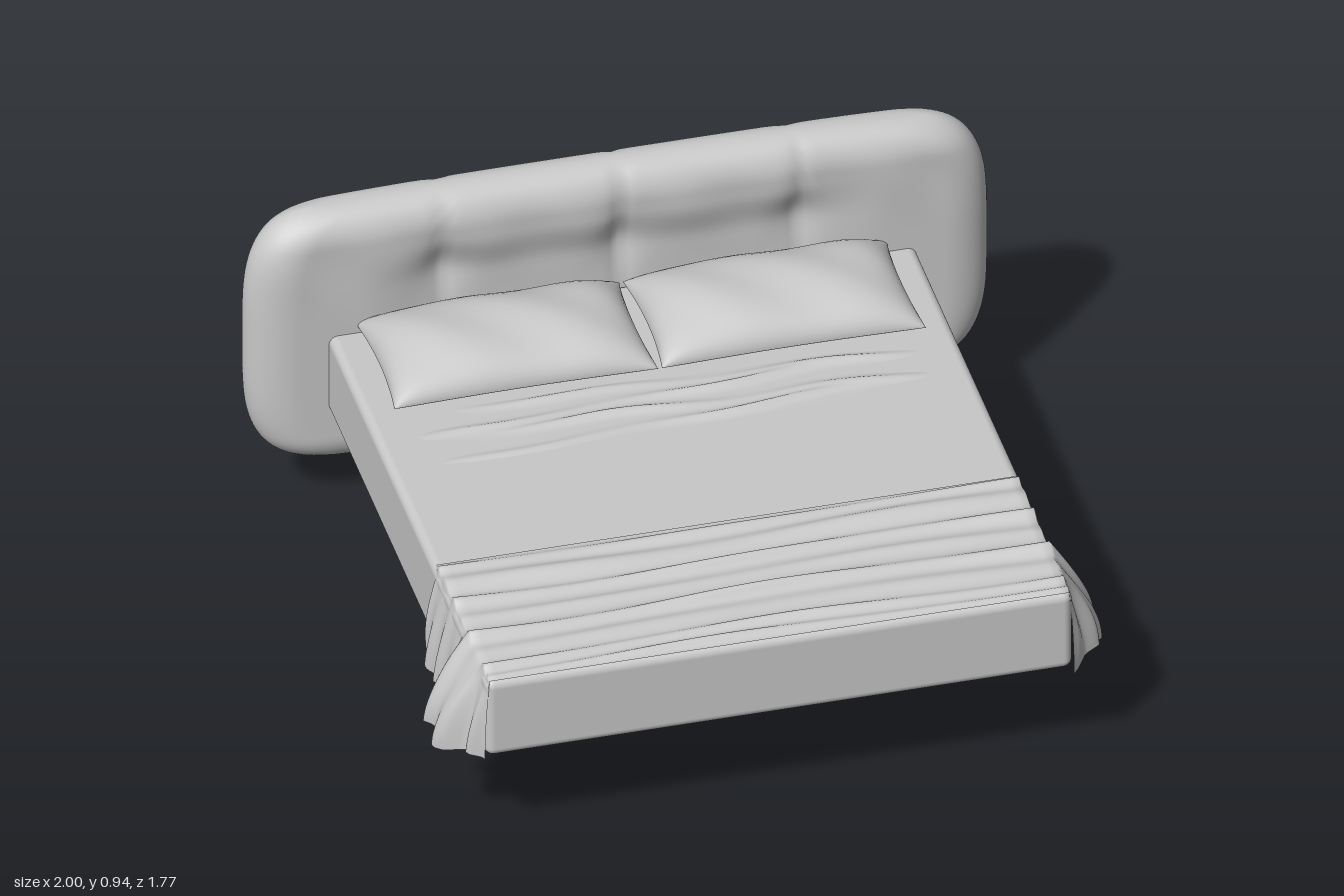
import * as THREE from 'three';
import { mergeGeometries, mergeVertices } from 'three/addons/utils/BufferGeometryUtils.js';
import { RoundedBoxGeometry } from 'three/addons/geometries/RoundedBoxGeometry.js';

const bump = (d, w) => Math.exp(-(d * d) / (w * w));
const ease = (t) => Math.sin(t * Math.PI / 2);
const step = THREE.MathUtils.smoothstep;

// A grid over u, v in [-1, 1] placed by a rule
function sheet(nx, ny, place) {
  const g = new THREE.PlaneGeometry(2, 2, nx, ny);
  const p = g.attributes.position;
  for (let i = 0; i < p.count; i++) p.setXYZ(i, ...place(p.getX(i), p.getY(i)));
  g.deleteAttribute('uv');
  g.deleteAttribute('normal');
  g.computeVertexNormals();
  return g;
}

// Two sheets, facing +z and -z, welded round the rim
function cushion(nx, ny, place) {
  const front = sheet(nx, ny, (u, v) => place(ease(u), ease(v), 1));
  const back = sheet(nx, ny, (u, v) => place(ease(-u), ease(v), -1));
  const both = mergeGeometries([front, back]);
  both.deleteAttribute('normal');
  const g = mergeVertices(both, 1e-5);
  g.computeVertexNormals();
  return g;
}

// Quarter-round edge: 0 at the rim, 1 once d reaches r
const round = (d, r) => Math.sqrt(Math.max(0, 1 - (1 - Math.min(d / r, 1)) ** 2));

function headboardPoint(u, v, side) {
  const w = 0.8 + 0.2 * Math.sqrt(Math.max(0, 1 - v ** 4));
  const x = u * w;
  const y = 0.53 + v * 0.405 * (1 - 0.035 * u ** 4);
  const edge = round(w * (1 - Math.abs(u)), 0.13) * round(0.405 * (1 - Math.abs(v)), 0.1);
  const ax = Math.abs(x);
  let dent = 0;
  if (side > 0) {
    // hollow behind the pillows, with three tufts and their seams
    dent += 0.022 * step(0.8 - y, 0, 0.12) * step(y, 0.25, 0.4) * step(0.7 - ax, 0, 0.25);
    dent += 0.02 * (bump(x, 0.05) + bump(ax - 0.48, 0.06)) * bump(y - 0.7, 0.09);
    dent += 0.012 * (bump(x, 0.018) + 0.7 * bump(ax - 0.48, 0.018));
    dent += 0.004 * Math.sin(x * 23 + y * 9) * bump(y - 0.78, 0.1);
  } else {
    // upright seams and framed panels on the back
    dent += 0.013 * (bump(x, 0.015) + bump(ax - 0.47, 0.025));
    const frame = Math.max(Math.abs(ax - 0.68) / 0.17, Math.abs(y - 0.53) / 0.28);
    dent += 0.008 * bump(frame - 1, 0.1);
    dent += 0.006 * bump(Math.abs(y - 0.53) - 0.29, 0.02) * step(0.45 - ax, 0, 0.03);
  }
  return [x, y, -0.805 + side * edge * (0.085 - dent)];
}

// Pillow lying flat: local z is up
function pillowPoint(u, v, side) {
  const x = u * 0.355 * (1 - 0.04 * (1 - v * v));
  const y = v * 0.2 * (1 - 0.05 * (1 - u * u));
  const puff = Math.sqrt((1 - u ** 4) * Math.max(0, 1 - v * v));
  const wave = 1 + 0.05 * Math.sin(7 * u + 4 * v);
  return [x, y, side > 0 ? 0.105 * puff * wave : -0.025 * puff];
}

// Throw draped over the foot of the bed
function throwPoint(u, v) {
  const z = 0.61 - v * 0.27;
  const s = Math.sign(u);
  const t = Math.abs(u);
  const ends = step(z, 0.34, 0.37) * step(0.88 - z, 0, 0.025);
  const wobble = 0.012 * Math.sin(u * 5 + z * 6);
  let top = 0.558;
  for (const [at, h, w] of [[0.37, 0.016, 0.02], [0.44, 0.02, 0.03], [0.52, 0.02, 0.018],
    [0.59, 0.01, 0.02], [0.67, 0.024, 0.02], [0.74, 0.01, 0.025], [0.81, 0.015, 0.015], [0.86, 0.014, 0.015]]) {
    top += ends * h * bump(z - at - wobble, w) * (0.8 + 0.25 * Math.sin(u * 9 + at * 40));
  }
  if (t < 0.62) return [u / 0.62 * 0.78, top, z];
  const k = (t - 0.62) / 0.38;
  const flare = step(z, 0.62, 0.66) * step(0.83 - z, 0, 0.04);
  const ripple = Math.sin(z * 75 + s * 0.7 + k * 2);
  const out = 0.012 + ends * (0.03 + 0.07 * flare + 0.012 * ripple * k);
  const hem = 0.305 + 0.012 * Math.sin(z * 40 + s);
  return [s * (0.78 + out * ease(k)), top + (hem - top) * k, z];
}

// Creased bedding just below the pillows
function creasePoint(u, v) {
  const z = -0.21 - v * 0.14;
  const fade = (1 - u ** 4) * (1 - v ** 4);
  let h = 0;
  for (const [at, tilt] of [[-0.3, 0.03], [-0.25, -0.03], [-0.19, 0.02], [-0.13, -0.04]]) {
    h += bump(z - at - tilt * u - 0.008 * Math.sin(u * 8), 0.014) * (0.6 + 0.4 * Math.sin(u * 6 + at * 50));
  }
  return [u * 0.7, 0.553 + fade * (0.003 + 0.014 * h), z];
}

export function createModel() {
  const model = new THREE.Group();
  const grey = new THREE.MeshStandardMaterial({ color: 0xc8c8c8, side: THREE.DoubleSide });
  grey.name = 'lightGrey';

  const add = (name, geometry, x = 0, y = 0, z = 0) => {
    const mesh = new THREE.Mesh(geometry, grey);
    mesh.name = name;
    mesh.position.set(x, y, z);
    model.add(mesh);
    return mesh;
  };

  add('headboard', cushion(120, 64, headboardPoint));
  add('mattress', new RoundedBoxGeometry(1.58, 0.24, 1.64, 4, 0.025), 0, 0.435, 0.063);
  add('sheetCreases', sheet(60, 48, creasePoint));
  add('throwBlanket', sheet(100, 110, throwPoint));

  for (const side of [-1, 1]) {
    const pillow = add(side > 0 ? 'leftPillow' : 'rightPillow',
      cushion(32, 24, pillowPoint), side * 0.36, 0.575, -0.538);
    pillow.rotation.x = -Math.PI / 2;
  }

  // Single post on a long, thin oval foot
  add('supportPost', new THREE.CylinderGeometry(0.035, 0.035, 0.31, 32), 0, 0.165, 0.235);
  const profile = [[0, 0], [0.06, 0], [0.085, 0.005], [0.085, 0.009], [0.045, 0.02], [0, 0.02]];
  const foot = add('footPlate', new THREE.LatheGeometry(
    profile.map(([r, y]) => new THREE.Vector2(r, y)), 48), 0, 0, 0.235);
  foot.scale.x = 7.5;

  return model;
}
